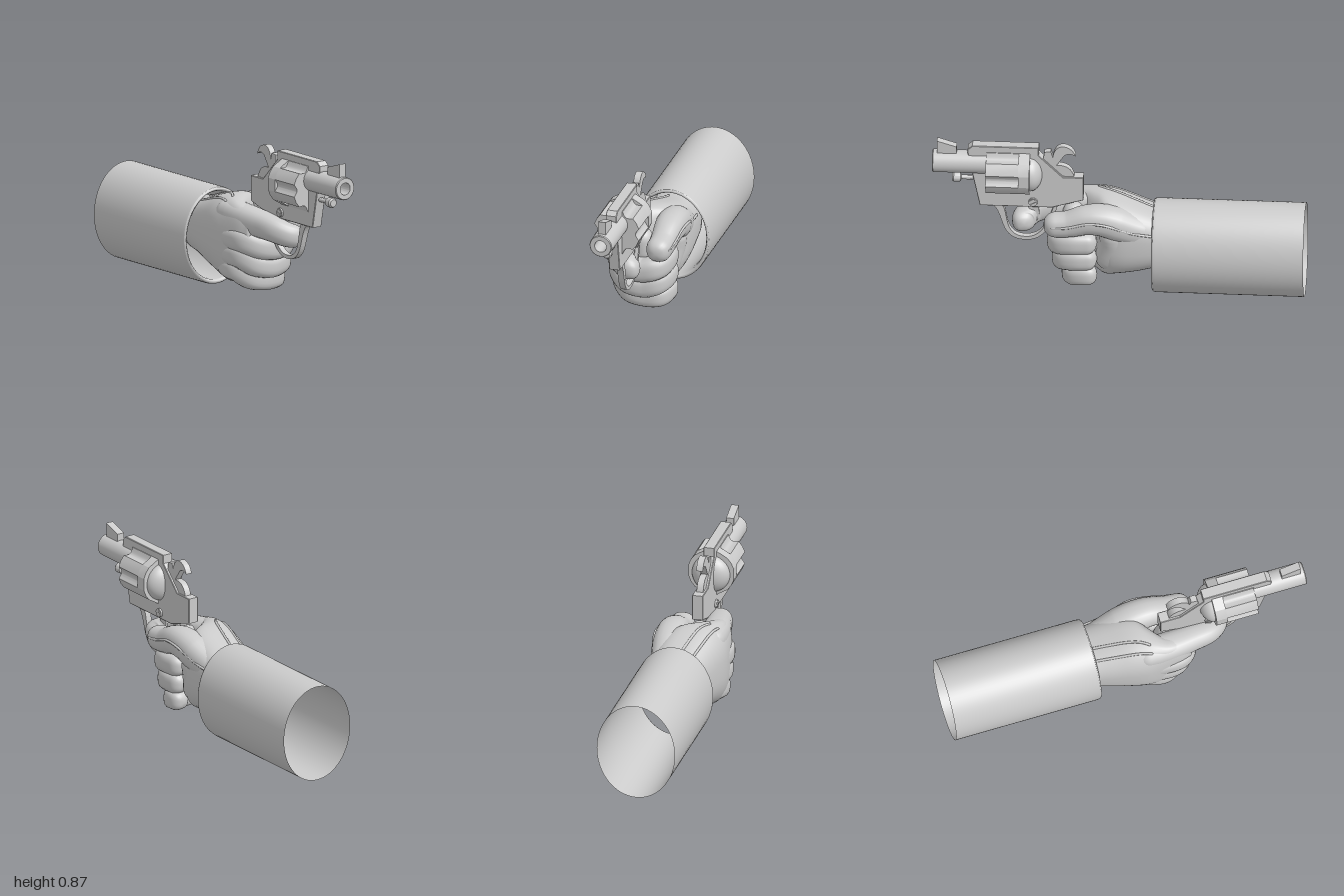
import * as THREE from 'three';
import { mergeVertices, toCreasedNormals } from 'three/addons/utils/BufferGeometryUtils.js';

const GX = -0.025; // centre plane of the revolver
const mat = new THREE.MeshStandardMaterial({ color: 0xcccccc, roughness: 0.7 });
const matDouble = new THREE.MeshStandardMaterial({ color: 0xcccccc, roughness: 0.7, side: THREE.DoubleSide });

function add(group, name, geo, material = mat) {
  const mesh = new THREE.Mesh(geo, material);
  mesh.name = name;
  group.add(mesh);
}
const V = (p) => new THREE.Vector3(...p);
const smooth = (geo) => {
  geo.deleteAttribute('uv');
  geo.deleteAttribute('normal');
  const g = mergeVertices(geo, 1e-5);
  g.computeVertexNormals();
  return g;
};

// Flat plate: outline in (z, y), thickness along x
function plate(outline, width, bevel = 0) {
  const shape = outline instanceof THREE.Shape ? outline : new THREE.Shape(outline.map(([z, y]) => new THREE.Vector2(z, y)));
  const depth = width - 2 * bevel;
  return new THREE.ExtrudeGeometry(shape, {
    depth, bevelEnabled: bevel > 0, bevelSize: bevel, bevelThickness: bevel, bevelOffset: -bevel, bevelSegments: 1, curveSegments: 16,
  }).translate(0, 0, -depth / 2).rotateY(-Math.PI / 2).translate(GX, 0, 0);
}

// Turned part along z: profile of [radius, z], outer wall running toward +z
function turned(profile, x, y, seg = 40) {
  const g = new THREE.LatheGeometry(profile.map(([r, z]) => new THREE.Vector2(r, z)), seg);
  return toCreasedNormals(g.rotateX(Math.PI / 2).translate(x, y, 0), 0.6);
}

// Round-ended tube with varying radius; square > 2 flattens its top, bottom and sides
function limb(points, radii, { N = 64, sides = 24, square = 2 } = {}) {
  const curve = new THREE.CatmullRomCurve3(points.map(V));
  const len = curve.getLength();
  const g = new THREE.TubeGeometry(curve, N, 1, sides);
  const pos = g.attributes.position, p = new THREE.Vector3();
  for (let i = 0; i <= N; i++) {
    const t = i / N, c = curve.getPointAt(t);
    const k = Math.min(t * (radii.length - 1), radii.length - 1.0001), a = Math.floor(k);
    let r = THREE.MathUtils.lerp(radii[a], radii[a + 1], k - a);
    const d = Math.min(t, 1 - t) * len;
    if (d < r) r *= Math.sqrt(Math.max(0, 1 - (1 - d / r) ** 2));
    for (let j = 0; j <= sides; j++) {
      const n = i * (sides + 1) + j;
      p.fromBufferAttribute(pos, n).sub(c);
      const v = Math.min(1, Math.abs(p.y)), h = Math.sqrt(1 - v * v);
      p.multiplyScalar(r * (v ** square + h ** square) ** (-1 / square)).add(c);
      pos.setXYZ(n, p.x, p.y, p.z);
    }
  }
  return smooth(g);
}

// Palm cross-sections: z, xMin, xMax, yMin, yMax
const palmSections = [
  [-0.3, -0.14, 0.14, 0.18, 0.47], [-0.2, -0.16, 0.15, 0.16, 0.485], [-0.1, -0.185, 0.155, 0.13, 0.515],
  [0, -0.208, 0.15, 0.105, 0.545], [0.07, -0.217, 0.12, 0.085, 0.555], [0.13, -0.215, 0.03, 0.085, 0.55],
  [0.2, -0.208, -0.055, 0.11, 0.535], [0.27, -0.197, -0.06, 0.18, 0.515], [0.33, -0.175, -0.06, 0.28, 0.49],
];
const palmX = new THREE.CatmullRomCurve3(palmSections.map((s) => V([s[1], s[2], s[0]])), false, 'catmullrom');
const palmY = new THREE.CatmullRomCurve3(palmSections.map((s) => V([s[3], s[4], s[0]])), false, 'catmullrom');
function palmPoint(t, angle) {
  const a = palmX.getPoint(t), b = palmY.getPoint(t);
  const c = Math.cos(angle), s = Math.sin(angle), e = 0.75;
  return [
    (a.x + a.y) / 2 + ((a.y - a.x) / 2) * Math.sign(c) * Math.abs(c) ** e,
    (b.x + b.y) / 2 + ((b.y - b.x) / 2) * Math.sign(s) * Math.abs(s) ** e,
    a.z,
  ];
}
function palmGeometry(rings = 40, sides = 48) {
  const pos = [], idx = [];
  for (let i = 0; i <= rings; i++)
    for (let j = 0; j < sides; j++) pos.push(...palmPoint(i / rings, (j / sides) * Math.PI * 2));
  for (let i = 0; i < rings; i++)
    for (let j = 0; j < sides; j++) {
      const k = (j + 1) % sides, a = i * sides + j, b = i * sides + k;
      idx.push(a, b, b + sides, a, b + sides, a + sides);
    }
  const first = pos.length / 3, last = first + 1, top = rings * sides;
  pos.push(0, 0.32, -0.3, -0.117, 0.385, 0.34);
  for (let j = 0; j < sides; j++) {
    const k = (j + 1) % sides;
    idx.push(first, k, j, last, top + j, top + k);
  }
  const g = new THREE.BufferGeometry();
  g.setAttribute('position', new THREE.Float32BufferAttribute(pos, 3));
  g.setIndex(idx);
  g.computeVertexNormals();
  return g;
}

function buildRevolver() {
  const gun = new THREE.Group();
  gun.name = 'revolver';
  add(gun, 'frame', plate([
    [0.81, 0.80], [0.795, 0.72], [0.745, 0.478], [0.36, 0.478], [0.19, 0.53], [0.19, 0.67],
    [0.3, 0.67], [0.43, 0.8], [0.43, 0.847], [0.785, 0.847], [0.81, 0.825],
  ], 0.06, 0.003));
  add(gun, 'barrel', turned([[0.062, 0.7], [0.062, 0.995], [0.058, 1], [0.033, 1], [0.033, 0.88], [0, 0.88]], GX, 0.732));
  add(gun, 'frontSight', plate([[0.975, 0.78], [0.975, 0.865], [0.87, 0.832], [0.87, 0.78]], 0.042));
  add(gun, 'ejectorRod', turned([
    [0.013, 0.74], [0.013, 0.845], [0.024, 0.85], [0.027, 0.86], [0.027, 0.885], [0.02, 0.895], [0, 0.895],
  ], GX, 0.635, 24));

  // Faceted cylinder with six flutes running back from the front face
  const R = 0.129, outline = [], rear = [], polar = (r, a) => new THREE.Vector2(Math.cos(a) * r, Math.sin(a) * r);
  for (let i = 0; i < 6; i++) {
    const mid = (i * Math.PI) / 3;
    for (let j = 0; j <= 12; j++) {
      const u = j / 6 - 1;
      outline.push(polar(R - 0.023 * (1 - u * u), mid + u * 0.26));
    }
    outline.push(polar(R, mid + Math.PI / 6));
    for (const u of [-0.26, 0.26, Math.PI / 6]) rear.push(polar(R, mid + u));
  }
  for (const [name, pts, z, depth] of [['flutedCylinder', outline, 0.535, 0.175], ['cylinderRear', rear, 0.475, 0.06]]) {
    const g = new THREE.ExtrudeGeometry(new THREE.Shape(pts), { depth, bevelEnabled: false });
    add(gun, name, toCreasedNormals(g.translate(GX, 0.685, z), 0.35));
  }
  add(gun, 'recoilShield', new THREE.SphereGeometry(1, 32, 20).scale(0.105, 0.105, 0.07).translate(GX, 0.68, 0.478));

  // Hammer with curled spur
  const hammer = new THREE.Shape();
  hammer.moveTo(0.41, 0.74);
  hammer.lineTo(0.4, 0.815);
  hammer.lineTo(0.365, 0.82);
  hammer.lineTo(0.355, 0.785);
  hammer.quadraticCurveTo(0.345, 0.85, 0.3, 0.853);
  hammer.quadraticCurveTo(0.25, 0.85, 0.233, 0.795);
  hammer.quadraticCurveTo(0.265, 0.82, 0.295, 0.795);
  hammer.lineTo(0.335, 0.735);
  hammer.quadraticCurveTo(0.255, 0.745, 0.238, 0.66);
  hammer.lineTo(0.38, 0.66);
  add(gun, 'hammer', plate(hammer, 0.036));

  // Trigger guard bow and trigger
  const bow = new THREE.Shape();
  bow.moveTo(0.68, 0.48);
  bow.bezierCurveTo(0.61, 0.43, 0.65, 0.265, 0.5, 0.265);
  bow.bezierCurveTo(0.4, 0.265, 0.36, 0.36, 0.33, 0.48);
  bow.lineTo(0.35, 0.48);
  bow.bezierCurveTo(0.38, 0.38, 0.41, 0.285, 0.5, 0.285);
  bow.bezierCurveTo(0.62, 0.285, 0.59, 0.42, 0.625, 0.48);
  add(gun, 'triggerGuard', plate(bow, 0.034));
  const trigger = new THREE.Shape();
  trigger.moveTo(0.5, 0.49);
  trigger.quadraticCurveTo(0.44, 0.41, 0.5, 0.34);
  trigger.lineTo(0.485, 0.335);
  trigger.quadraticCurveTo(0.4, 0.4, 0.44, 0.49);
  add(gun, 'trigger', plate(trigger, 0.026));

  // Slotted frame screw heads on both sides
  for (const s of [-1, 1]) {
    add(gun, 'screwHead', new THREE.CylinderGeometry(0.024, 0.024, 0.012, 24).rotateZ(Math.PI / 2).translate(GX + s * 0.034, 0.512, 0.46));
    for (const k of [-1, 1])
      add(gun, 'screwRim', new THREE.BoxGeometry(0.006, 0.014, 0.034).translate(0, k * 0.011, 0).rotateX(0.5).translate(GX + s * 0.041, 0.512, 0.46));
  }
  add(gun, 'grip', limb([[GX, 0.5, 0.25], [GX, 0.42, 0.24], [GX, 0.28, 0.21], [GX, 0.14, 0.19]], [0.052, 0.07, 0.075, 0.07]));
  return gun;
}

function buildHand() {
  const hand = new THREE.Group();
  hand.name = 'glovedHand';
  add(hand, 'palm', palmGeometry());

  // Three fingers wrapped around the grip: outer y, middle y, tip y, front z, radius
  [
    ['middleFinger', 0.34, 0.29, 0.322, 0.322, 0.062],
    ['ringFinger', 0.25, 0.186, 0.222, 0.297, 0.06],
    ['littleFinger', 0.168, 0.104, 0.124, 0.25, 0.055],
  ].forEach(([name, yo, ym, yt, z, r]) => add(hand, name, limb([
    [-0.135, yo + 0.02, 0.06], [-0.153, yo, 0.16], [-0.145, yo - 0.005, z - 0.05], [-0.085, ym + 0.014, z - 0.005],
    [0, ym, z], [0.066, yt - 0.014, z - 0.01], [0.094, yt, z - 0.07], [0.086, yt, 0.11],
  ], [r, r, r * 1.04, r, r, r * 0.98, r * 0.95], { N: 80, square: 3.2 })));

  // Index finger reaching through the guard
  add(hand, 'indexFinger', limb([
    [-0.12, 0.455, 0.02], [-0.12, 0.45, 0.2], [-0.1, 0.435, 0.35], [-0.08, 0.418, 0.45], [-0.04, 0.396, 0.5], [0, 0.387, 0.512], [0.045, 0.387, 0.505],
  ], [0.078, 0.08, 0.076, 0.07, 0.064, 0.061], { N: 80, square: 2.6 }));

  // Thumb lying along the left side of the frame
  const thumb = [[0.05, 0.35, -0.24], [0.075, 0.405, -0.08], [0.092, 0.462, 0.07], [0.096, 0.466, 0.16], [0.096, 0.435, 0.27], [0.093, 0.425, 0.4]];
  const thumbR = [0.06, 0.08, 0.088, 0.08, 0.068, 0.064];
  add(hand, 'thumb', limb(thumb, thumbR, { N: 72, square: 2.5 }));
  add(hand, 'thumbHeel', limb([[0.08, 0.44, 0.03], [0.07, 0.32, 0.02], [0.05, 0.22, 0.05], [0.02, 0.16, 0.09]], [0.08, 0.08, 0.076, 0.07]));

  // Raised glove seams
  const seam = (pts) => add(hand, 'gloveSeam', limb(pts, [0.007, 0.007], { sides: 8 }));
  for (const [a0, a1] of [[1.62, 1.75], [2.05, 2.1]]) {
    const pts = [];
    for (let i = 0; i <= 10; i++) pts.push(palmPoint(0.1 + i * 0.05, a0 + (a1 - a0) * i / 10));
    seam(pts);
  }
  seam([[0.145, 0.4, -0.2], ...thumb.slice(1, 5).map(([x, y, z], i) => [x + thumbR[i + 1] * 0.99, y + thumbR[i + 1] * 0.2, z]), [0.153, 0.435, 0.36]]);
  return hand;
}

export function createModel() {
  const model = new THREE.Group();
  model.name = 'handWithRevolver';
  model.add(buildRevolver(), buildHand());

  // Open oval sleeve with a turned-in cuff
  const sleeve = turned([
    [1, -1], [1, -0.21], [0.99, -0.193], [0.965, -0.185], [0.93, -0.187], [0.905, -0.2], [0.9, -0.24], [0.99, -0.7], [0.995, -1],
  ], 0, 0, 64).scale(0.216, 0.266, 1).translate(0, 0.266, 0);
  add(model, 'sleeve', sleeve, matDouble);
  return model;
}
